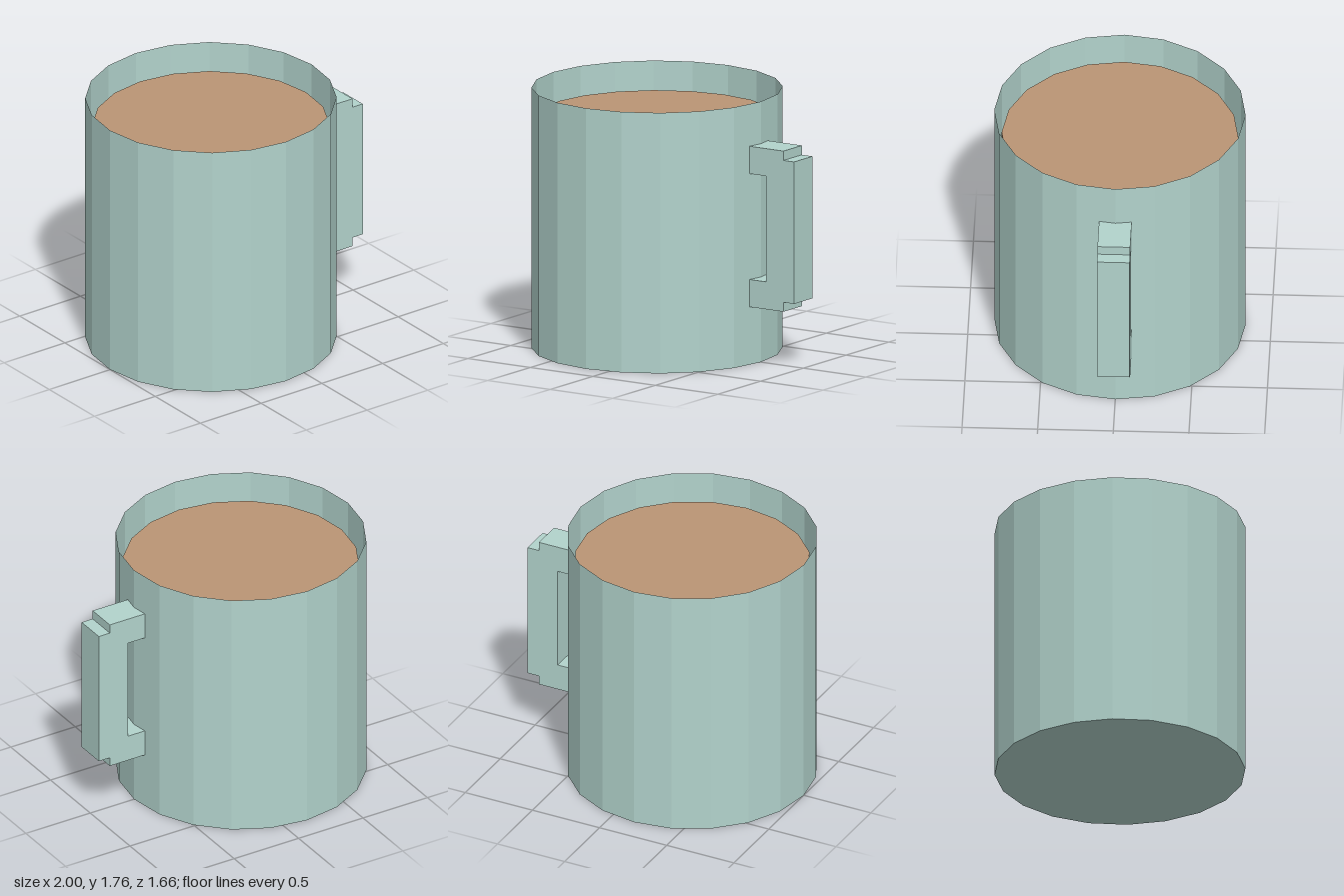
import * as THREE from 'three';

const SIDES = 20;
const CENTER_X = -0.17;

export function createModel() {
  const model = new THREE.Group();
  model.name = 'mug';

  const ceramic = new THREE.MeshStandardMaterial({ color: 0xb2d3cc, flatShading: true, side: THREE.DoubleSide });
  ceramic.name = 'pale teal ceramic';
  const coffee = new THREE.MeshStandardMaterial({ color: 0xba9575, flatShading: true });
  coffee.name = 'milky coffee';

  const add = (name, geometry, material, x, y) => {
    const mesh = new THREE.Mesh(geometry, material);
    mesh.name = name;
    mesh.position.set(x, y, 0);
    model.add(mesh);
    return mesh;
  };

  // Thin open wall and flat floor
  const height = 1.76, radius = 0.83;
  add('wall', new THREE.CylinderGeometry(radius, radius, height, SIDES, 1, true), ceramic, CENTER_X, height / 2);
  add('floor', new THREE.CircleGeometry(radius, SIDES).rotateX(Math.PI / 2), ceramic, CENTER_X, 0);

  // Drink, slightly narrower than the wall and resting just above the floor
  const level = 1.57, base = 0.01;
  add('drink', new THREE.CylinderGeometry(0.782, 0.782, level - base, SIDES), coffee, CENTER_X, (level + base) / 2);

  // Handle: stepped bracket whose arms run through the wall into the drink
  const bottom = 0.39, top = 1.475;
  const lowerHalf = [
    [0.55, 0.185], [0.55, 0], [0.915, 0], [0.915, 0.063], [1, 0.063],
  ];
  const points = [
    [0.775, 0.185],
    ...lowerHalf,
  ].map(([x, y]) => new THREE.Vector2(x, bottom + y));
  // mirror the lower half to make the upper one
  const mirrored = points.map((p) => new THREE.Vector2(p.x, bottom + top - p.y)).reverse();
  const depth = 0.216;
  const handle = new THREE.ExtrudeGeometry(new THREE.Shape([...points, ...mirrored]), { depth, bevelEnabled: false });
  handle.translate(0, 0, -depth / 2);
  add('handle', handle, ceramic, 0, 0);

  return model;
}
